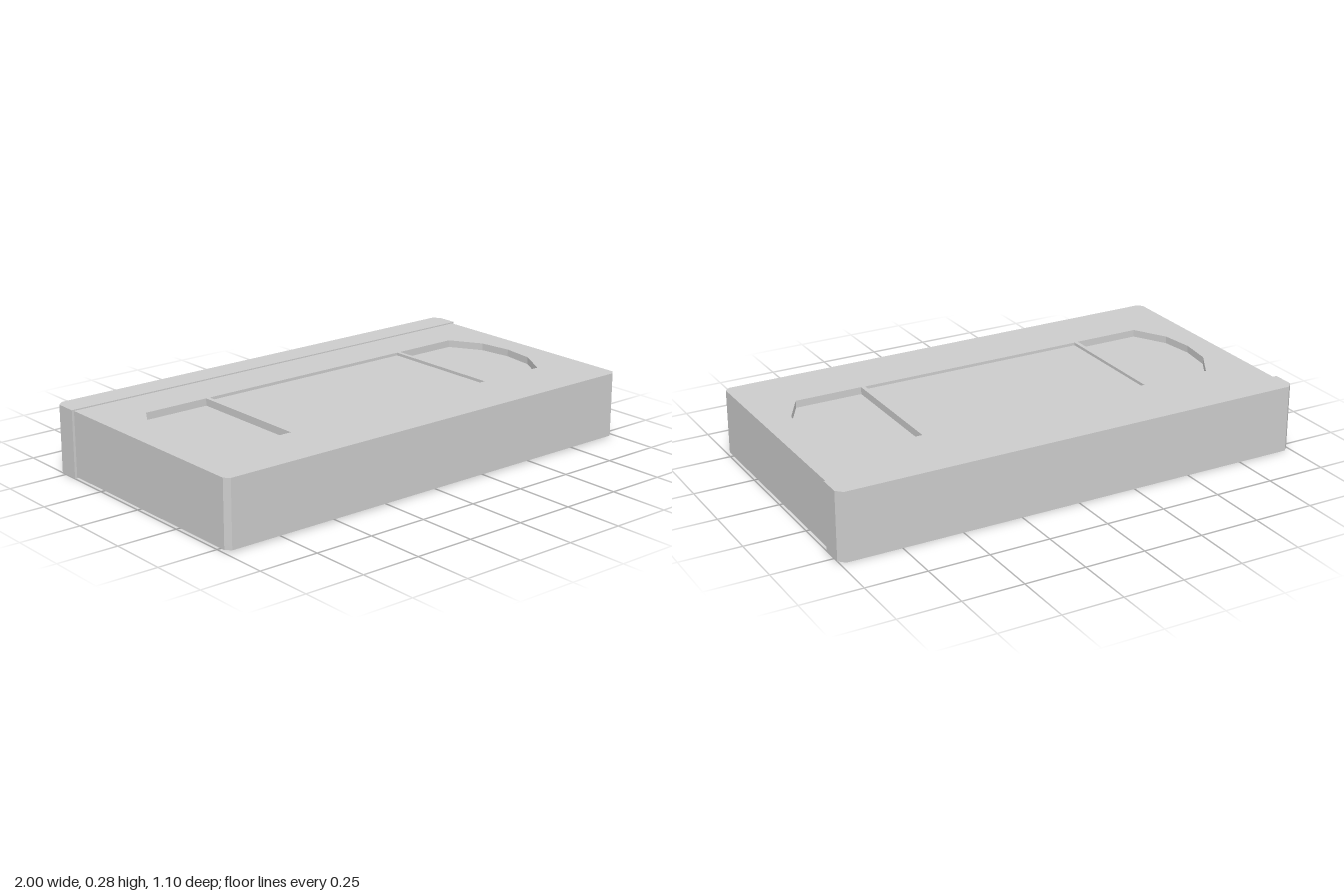
import * as THREE from 'three';

const material = new THREE.MeshStandardMaterial({ color: 0xcccccc, flatShading: true, side: THREE.DoubleSide });

// Points are given as [x, z] on the plan.
const toVectors = (points) => points.map(([x, z]) => new THREE.Vector2(x, -z));

// Extrude a plan outline, with optional holes, from height y0 to y1.
function slab(name, outline, holes, y0, y1) {
  const shape = new THREE.Shape(toVectors(outline));
  shape.holes = holes.map((hole) => new THREE.Path(toVectors(hole)));
  const geometry = new THREE.ExtrudeGeometry(shape, { depth: y1 - y0, bevelEnabled: false });
  geometry.rotateX(-Math.PI / 2);
  geometry.translate(0, y0, 0);
  const mesh = new THREE.Mesh(geometry, material);
  mesh.name = name;
  return mesh;
}

const rect = (x, z0, z1) => [[-x, z1], [x, z1], [x, z0], [-x, z0]];
const mirror = (points) => points.map(([x, z]) => [-x, z]);

export function createModel() {
  const group = new THREE.Group();
  group.name = 'videoCassette';

  const bottom = 0.005, hubFloor = 0.045, windowFloor = 0.245, top = 0.275;
  const hubX = 0.49, hubRadius = 0.16, hubSides = 12;

  // Shell plan with chamfered front corners
  const shell = [
    [-0.99, -0.435], [-0.99, 0.53], [-0.97, 0.55],
    [0.97, 0.55], [0.99, 0.53], [0.99, -0.435],
  ];

  // Underside with the two hub recesses
  const hubHole = (cx) => Array.from({ length: hubSides }, (_, i) => {
    const a = (i / hubSides) * Math.PI * 2;
    return [cx + hubRadius * Math.sin(a), hubRadius * Math.cos(a)];
  });
  group.add(slab('lowerShell', shell, [hubHole(-hubX), hubHole(hubX)], bottom, hubFloor));

  // Solid core, which forms the floors of the recesses
  group.add(slab('core', shell, [], hubFloor, windowFloor));

  // Top with two reel windows and a central label panel
  const reelWindow = [
    [0.507, -0.24], [0.79, -0.24], [0.867, -0.11], [0.885, 0.027],
    [0.867, 0.163], [0.79, 0.297], [0.507, 0.297],
  ];
  const labelRecess = rect(0.49, -0.24, 0.295);
  group.add(slab('upperShell', shell, [reelWindow, mirror(reelWindow), labelRecess], windowFloor, top));
  group.add(slab('labelPanel', labelRecess, [], windowFloor, top - 0.012));

  // Thin rims standing below the hub recesses
  for (const side of [-1, 1]) {
    const rim = new THREE.Mesh(
      new THREE.CylinderGeometry(hubRadius, hubRadius, bottom, hubSides, 1, true), material);
    rim.position.set(side * hubX, bottom / 2, 0);
    rim.name = side > 0 ? 'leftHubRim' : 'rightHubRim';
    group.add(rim);
  }

  // Tape flap along the back, slightly larger than the shell
  const flap = [
    [-1, -0.435], [1, -0.435], [1, -0.525], [0.975, -0.55], [-0.975, -0.55], [-1, -0.525],
  ];
  group.add(slab('tapeFlap', flap, [], 0, 0.28));

  return group;
}
